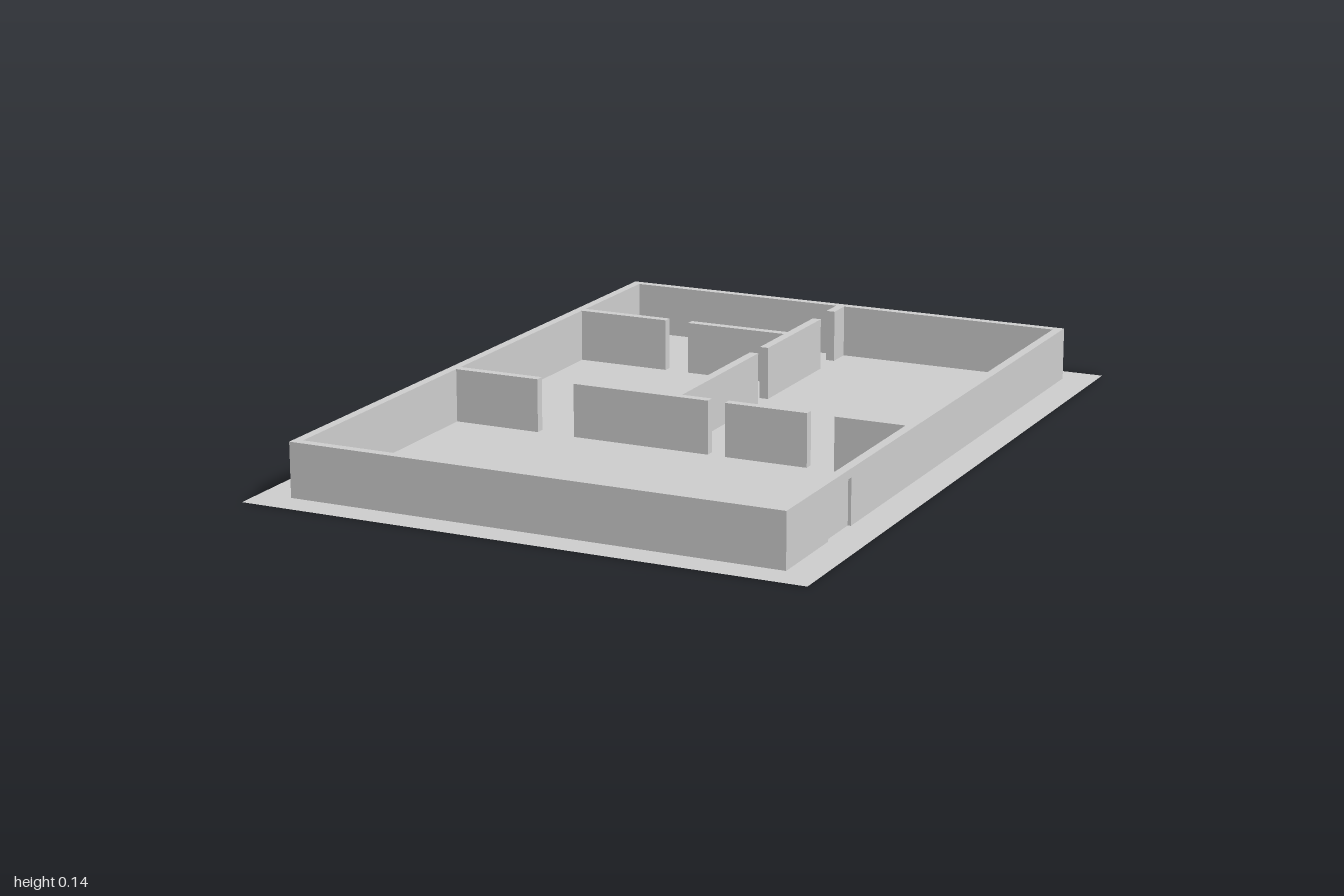
import * as THREE from 'three';

const H = 0.14; // wall height
const T = 0.024; // wall thickness
const X = 0.648, Z0 = -0.925, Z1 = 0.92; // outer faces of the house

const material = new THREE.MeshStandardMaterial({ color: 0xcccccc, flatShading: true });
const groundMaterial = new THREE.MeshStandardMaterial({ color: 0xcccccc, side: THREE.DoubleSide });

function addMesh(parent, name, geometry, mat = material) {
  const mesh = new THREE.Mesh(geometry, mat);
  mesh.name = name;
  parent.add(mesh);
  return mesh;
}

// Upright block given by its extents on the floor plan
function addBlock(parent, name, x0, x1, z0, z1, height = H) {
  const mesh = addMesh(parent, name, new THREE.BoxGeometry(x1 - x0, height, z1 - z0));
  mesh.position.set((x0 + x1) / 2, height / 2, (z0 + z1) / 2);
}

const polygon = (points) => new THREE.Shape(points.map(([x, y]) => new THREE.Vector2(x, y)));

export function createModel() {
  const model = new THREE.Group();
  model.name = 'floorPlan';

  // Thin ground sheet
  addMesh(model, 'ground', new THREE.PlaneGeometry(1.47, 2).rotateX(-Math.PI / 2), groundMaterial);

  // Back, far side and front walls as one U-shaped plan
  const inner = X - T;
  const plan = polygon([
    [inner, Z0], [inner, Z0 + T], [-inner, Z0 + T], [-inner, Z1 - T],
    [inner, Z1 - T], [inner, Z1], [-X, Z1], [-X, Z0],
  ]);
  const shell = new THREE.ExtrudeGeometry(plan, { depth: H, bevelEnabled: false });
  addMesh(model, 'outerWalls', shell.rotateX(Math.PI / 2)).position.y = H;

  // Entrance wall with a doorway notch
  const [d0, d1, doorHeight] = [0.55, 0.683, 0.118];
  const side = polygon([
    [Z0, 0], [d0, 0], [d0, doorHeight], [d1, doorHeight], [d1, 0], [Z1, 0], [Z1, H], [Z0, H],
  ]);
  const sideWall = new THREE.ExtrudeGeometry(side, { depth: T, bevelEnabled: false });
  addMesh(model, 'entranceWall', sideWall.rotateY(-Math.PI / 2)).position.x = X;

  // Door leaf set back in the doorway
  const doorX = X - T / 2;
  addBlock(model, 'entranceDoor', doorX - 0.004, doorX + 0.004, d0, d1, doorHeight);

  // Partitions across the house: [z centre, x start, x end]
  const across = [
    [0.146, -inner, -0.387], [0.146, -0.283, 0.094], [0.146, 0.141, 0.364], [0.146, 0.437, inner],
    [-0.556, -inner, -0.366], [-0.556, -0.298, -T / 2],
  ];
  for (const [z, x0, x1] of across) addBlock(model, 'crossPartition', x0, x1, z - T / 2, z + T / 2);

  // Partitions along the centre line: [z start, z end]
  const along = [[Z0 + T, -0.833], [-0.738, -0.388], [-0.325, 0.146 - T / 2]];
  for (const [z0, z1] of along) addBlock(model, 'centrePartition', -T / 2, T / 2, z0, z1);

  return model;
}
